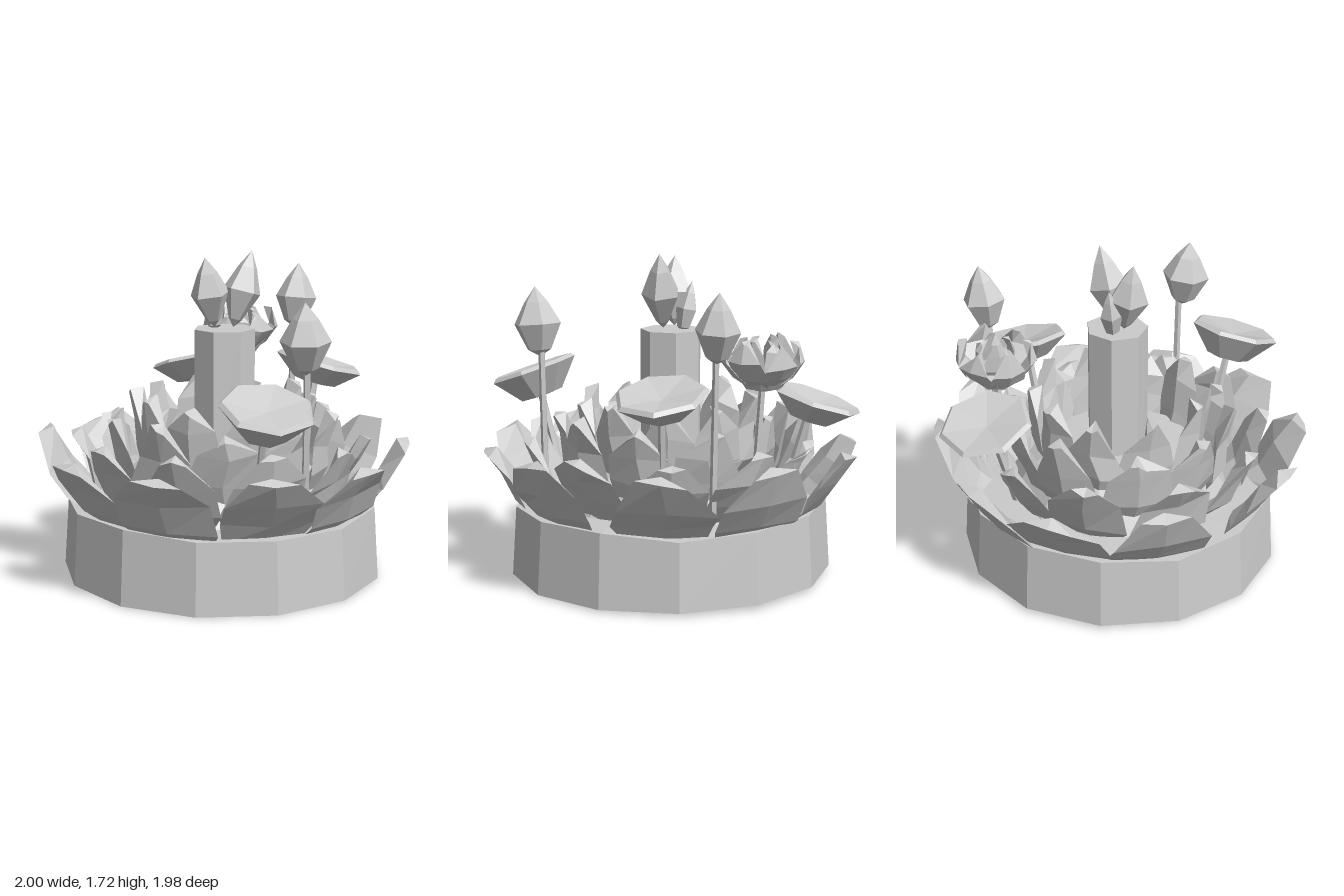
import * as THREE from 'three';

const stone = new THREE.MeshStandardMaterial({ color: 0xcccccc, flatShading: true });
stone.name = 'grey stone';

let seed = 11;
const rnd = () => ((seed = (seed * 16807) % 2147483647) / 2147483647) * 2 - 1;
const UP = new THREE.Vector3(0, 1, 0);

function add(parent, name, geometry) {
  const m = new THREE.Mesh(geometry, stone);
  m.name = name;
  parent.add(m);
  return m;
}

// Closed solid through four-point rings, capped at both ends
function loft(rings) {
  const pos = [];
  const tri = (a, b, c) => pos.push(...a, ...b, ...c);
  for (let i = 0; i + 1 < rings.length; i++) {
    for (let j = 0; j < 4; j++) {
      const k = (j + 1) % 4, p = rings[i], q = rings[i + 1];
      tri(p[j], p[k], q[k]);
      tri(p[j], q[k], q[j]);
    }
  }
  // caps fan from the inner middle point so cupped ends stay clean
  const a = rings[0], b = rings[rings.length - 1];
  tri(a[3], a[1], a[0]); tri(a[3], a[2], a[1]);
  tri(b[3], b[0], b[1]); tri(b[3], b[1], b[2]);
  const g = new THREE.BufferGeometry();
  g.setAttribute('position', new THREE.Float32BufferAttribute(pos, 3));
  g.computeVertexNormals();
  return g;
}

// Cupped petal facing +z; each section is [distance out, height, half width]
function petal(sections, thick, jitter, cupping) {
  return loft(sections.map(([r, y, w], i) => {
    const j = i ? jitter : 0;
    const y1 = y + rnd() * j, r1 = r + rnd() * j * 0.5, cup = w * cupping;
    const side = rnd() * j;
    return [
      [-w + side, y1 + rnd() * j, r1 - cup],
      [side, y1, r1],
      [w + side, y1 + rnd() * j, r1 - cup],
      [side, y1 + thick * 0.4, r1 - thick],
    ];
  }));
}

function petalRing(parent, name, angles, sections, thick, jitter, cupping) {
  const ring = new THREE.Group();
  ring.name = name;
  for (const a of angles) add(ring, 'petal', petal(sections, thick, jitter, cupping)).rotation.y = a;
  parent.add(ring);
}
const evenly = (n, start) => Array.from({ length: n }, (_, i) => start + (i * 2 * Math.PI) / n);

const lathe = (points, sides) =>
  new THREE.LatheGeometry(points.map(([x, y]) => new THREE.Vector2(x, y)), sides);

// Places a mesh with its foot at one point and its axis towards another
function aim(mesh, from, to) {
  const a = new THREE.Vector3(...from), b = new THREE.Vector3(...to);
  mesh.position.copy(a);
  mesh.quaternion.setFromUnitVectors(UP, b.sub(a).normalize());
}
const span = (from, to) => new THREE.Vector3(...from).distanceTo(new THREE.Vector3(...to));

function stem(parent, from, to, r) {
  const h = span(from, to);
  aim(add(parent, 'stem', new THREE.CylinderGeometry(r, r * 1.1, h, 5).translate(0, h / 2, 0)), from, to);
}

// Pointed bulb; foot sets how full it is near the base
function bud(parent, name, from, to, r, sides, foot) {
  const h = span(from, to);
  const g = lathe([[0, 0], [r * foot, h * 0.1], [r, h * 0.47], [r * 0.5, h * 0.78], [0, h]], sides);
  aim(add(parent, name, g), from, to);
}

export function createModel() {
  const model = new THREE.Group();
  model.name = 'lotusCandleHolder';

  // Drum base with slightly uneven rims
  const base = new THREE.CylinderGeometry(0.835, 0.86, 0.385, 13).translate(0, 0.205, 0);
  const p = base.attributes.position;
  for (let i = 0; i < p.count; i++) {
    const x = p.getX(i), z = p.getZ(i), low = p.getY(i) < 0.2;
    p.setY(i, p.getY(i) + (low ? 0.008 - 0.012 * x - 0.01 * z : 0.015 * Math.sin(5 * x + 3 * z)));
  }
  add(model, 'base', base);

  // Raised floor around the candle
  add(model, 'centrePlatform', lathe([[0.62, 0.38], [0.5, 0.56], [0.4, 0.62], [0, 0.63]], 12));

  // Petal rings from the outside in
  const outer = [-106, -71, -27, 6, 38, 72, 106, 152, 187, 217].map((d) => Math.PI / 2 - (d * Math.PI) / 180);
  petalRing(model, 'outerPetals', outer,
    [[0.74, 0.35, 0.2], [0.83, 0.43, 0.255], [0.92, 0.57, 0.255], [1.005, 0.71, 0.13]], 0.07, 0.025, 0.12);
  petalRing(model, 'middlePetals', evenly(10, 0.3),
    [[0.58, 0.38, 0.15], [0.68, 0.49, 0.21], [0.75, 0.63, 0.19], [0.8, 0.75, 0.07]], 0.06, 0.035, 0.22);
  petalRing(model, 'upperPetals', evenly(10, 0.05),
    [[0.5, 0.42, 0.13], [0.57, 0.58, 0.19], [0.6, 0.74, 0.16], [0.62, 0.87, 0.04]], 0.07, 0.035, 0.25);
  petalRing(model, 'innerPetals', evenly(10, 0.28),
    [[0.42, 0.5, 0.11], [0.47, 0.66, 0.16], [0.48, 0.83, 0.13], [0.5, 0.96, 0.03]], 0.08, 0.03, 0.35);

  // Candle pillar
  const candle = add(model, 'candle', new THREE.CylinderGeometry(0.165, 0.165, 0.74, 7));
  candle.position.set(0, 0.95, -0.015);
  candle.rotation.y = 0.3;

  // Forked flame
  const flame = new THREE.Group();
  flame.name = 'flame';
  bud(flame, 'flameTongue', [-0.03, 1.33, 0.03], [-0.05, 1.7, 0.085], 0.108, 5, 0.35);
  bud(flame, 'flameTongue', [0.05, 1.33, -0.03], [0.1, 1.73, -0.13], 0.105, 5, 0.35);
  bud(flame, 'flameBase', [-0.06, 1.3, -0.02], [-0.11, 1.57, -0.03], 0.06, 5, 0.6);
  model.add(flame);

  // Closed buds on stems
  const buds = new THREE.Group();
  buds.name = 'closedBuds';
  stem(buds, [0.65, 0.45, 0.17], [0.66, 1.2, 0.18], 0.018);
  bud(buds, 'bud', [0.665, 1.17, 0.2], [0.68, 1.54, 0.235], 0.13, 6, 0.5);
  stem(buds, [-0.02, 0.45, -0.67], [-0.02, 1.28, -0.71], 0.018);
  bud(buds, 'bud', [-0.02, 1.24, -0.71], [-0.02, 1.6, -0.755], 0.115, 6, 0.5);
  model.add(buds);

  // Open flower on a stem
  const flower = new THREE.Group();
  flower.name = 'openFlower';
  stem(flower, [0.04, -0.66, 0.02], [0, 0.03, 0], 0.018);
  add(flower, 'flowerCup', lathe([[0, 0], [0.1, 0.01], [0.15, 0.08], [0, 0.1]], 7));
  petalRing(flower, 'flowerOuterPetals', evenly(6, 0.2),
    [[0.06, 0, 0.05], [0.16, 0.06, 0.1], [0.215, 0.14, 0.09], [0.19, 0.24, 0.015]], 0.05, 0.015, 0.3);
  petalRing(flower, 'flowerInnerPetals', evenly(4, 0.5),
    [[0.05, 0.02, 0.04], [0.1, 0.1, 0.08], [0.1, 0.19, 0.06], [0.08, 0.25, 0.015]], 0.04, 0.015, 0.3);
  flower.position.set(-0.31, 1.08, -0.58);
  model.add(flower);

  // Tilted, shallow leaf pads with stems leaning out: [rim centre, tilt direction, depth]
  const pads = new THREE.Group();
  pads.name = 'leafPads';
  for (const [c, tilt, d] of [
    [[0.645, 1.05, 0.505], [0.3, 1, 0.2], 0.16],
    [[-0.61, 1.01, -0.55], [-0.3, 1, -0.1], 0.12],
    [[0.23, 1.08, -0.6], [0.18, 1, -0.2], 0.12],
  ]) {
    const pad = lathe([[0, -d], [0.12, -d + 0.01], [0.245, -0.005], [0.225, 0.015], [0, -0.025]], 7);
    aim(add(pads, 'leafPad', pad), c, c.map((v, i) => v + tilt[i]));
    stem(pads, [c[0] * 0.8, 0.5, c[2] * 0.8], [c[0] * 0.95, c[1] - 0.09, c[2] * 0.95], 0.02);
  }
  model.add(pads);

  return model;
}
